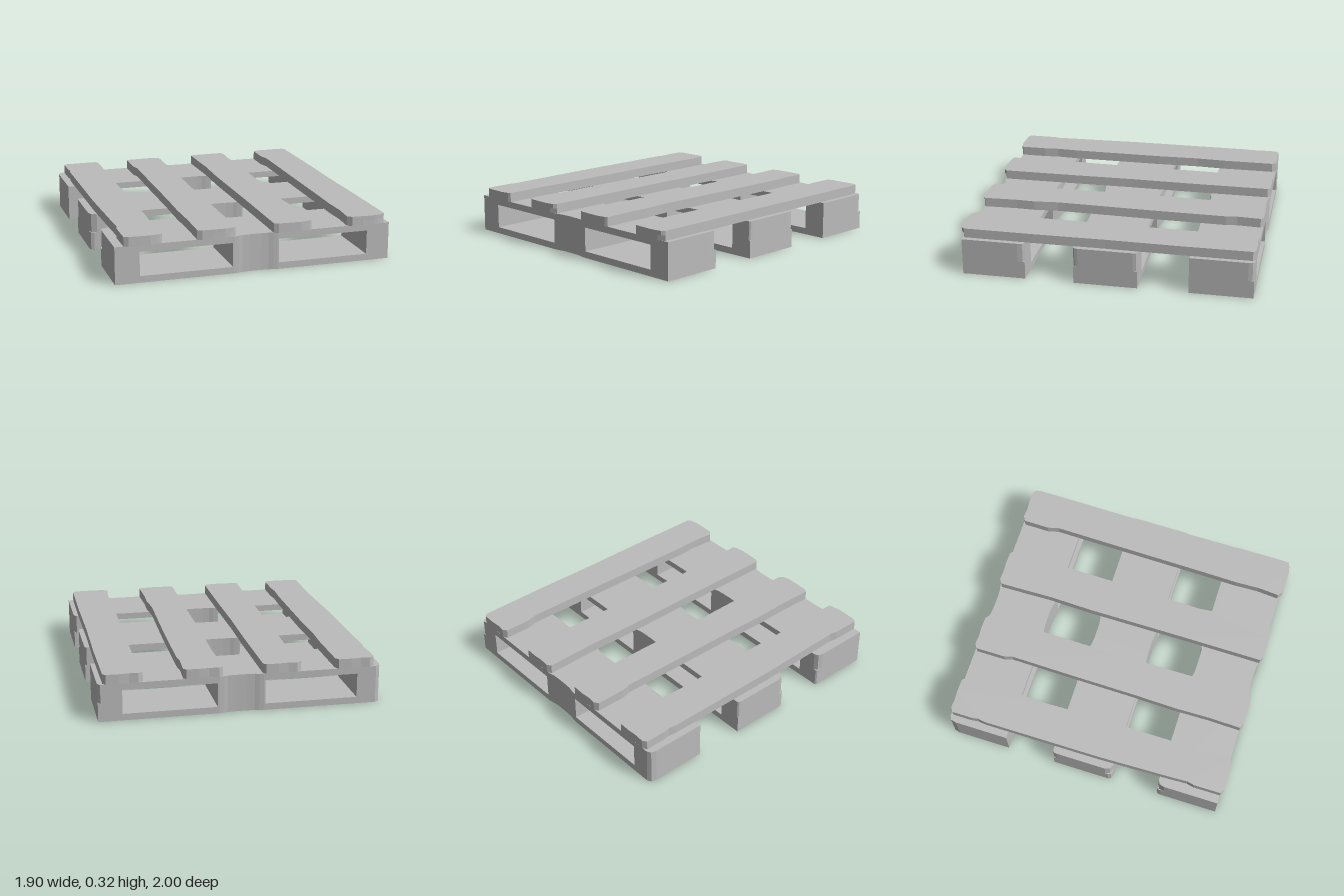
import * as THREE from 'three';

const wood = new THREE.MeshStandardMaterial({ color: 0xbcbcbc });
wood.name = 'weathered grey';

// Solid standing on a plan outline of [x, z] points, from height y0 to y1
function slab(name, outline, y0, y1) {
  const shape = new THREE.Shape(outline.map(([x, z]) => new THREE.Vector2(x, -z)));
  const geo = new THREE.ExtrudeGeometry(shape, { depth: y1 - y0, bevelEnabled: false });
  geo.rotateX(-Math.PI / 2).translate(0, y0, 0);
  const mesh = new THREE.Mesh(geo, wood);
  mesh.name = name;
  return mesh;
}

// Plan outline with a slightly pinched waist and worn corners.
// wear = [dx, dz] for back left, back right, front right, front left (-x is first)
function footprint(x0, x1, z0, z1, wear, waist) {
  const corner = (x, z, sx, sz, [dx, dz], fromZ) => {
    if (!dx) return [[x, z]];
    const pts = [
      [x, z + sz * dz],
      [x + sx * dx * 0.25, z + sz * dz * 0.3],
      [x + sx * dx, z],
    ];
    return fromZ ? pts : pts.reverse();
  };
  const pinch = [[-0.15, 0], [-0.12, 0.004], [-0.09, 0.011], [-0.04, 0.014],
    [0.04, 0.014], [0.09, 0.011], [0.12, 0.004], [0.15, 0]];
  const back = waist ? pinch.map(([x, d]) => [x, z0 + d]) : [];
  const front = waist ? pinch.map(([x, d]) => [x, z1 - d]).reverse() : [];
  return [
    ...corner(x0, z0, 1, 1, wear[0], true), ...back,
    ...corner(x1, z0, -1, 1, wear[1], false),
    ...corner(x1, z1, -1, -1, wear[2], true), ...front,
    ...corner(x0, z1, 1, -1, wear[3], false),
  ];
}

const X0 = -0.955, X1 = 0.95, SHARP = [0, 0];

// Runner: bottom board, three blocks and top board around two fork openings
function runner(name, z0, z1, lowWear, highWear) {
  const g = new THREE.Group();
  g.name = name;
  const [bl, br, fr, fl] = highWear;
  const [lbl, lbr, lfr, lfl] = lowWear;
  g.add(slab('bottomBoard', footprint(X0, X1, z0, z1, lowWear, true), 0, 0.045));
  g.add(slab('middleBlock', footprint(-0.16, 0.16, z0, z1, [SHARP, SHARP, SHARP, SHARP], true), 0.045, 0.21));
  for (const [y0, y1, w] of [[0.045, 0.125, [lbl, lbr, lfr, lfl]], [0.125, 0.21, [bl, br, fr, fl]]]) {
    g.add(slab('leftEndBlock', footprint(X0, -0.79, z0, z1, [w[0], SHARP, SHARP, w[3]], false), y0, y1));
    g.add(slab('rightEndBlock', footprint(0.79, X1, z0, z1, [SHARP, w[1], w[2], SHARP], false), y0, y1));
  }
  g.add(slab('topBoard', footprint(X0, X1, z0, z1, highWear, true), 0.21, 0.255));
  return g;
}

// Deck plank with uneven long edges ([x, z] lists running back to front) and worn ends
function plank(left, right, chip) {
  const xl = left[0][0], xr = right[0][0], w = xr - xl;
  const xfl = left[left.length - 1][0], xfr = right[right.length - 1][0];
  const outline = (c) => [
    ...left.slice().reverse(),
    [xl + 0.03, -1], [xl + w * 0.35, -0.995], [xl + w * 0.6, -1], [xr - 0.02, -0.998],
    ...right,
    [xfr - 0.02 - c, 0.99], [xfr - w * 0.3, 1 - c * 0.2], [xfl + w * 0.4, 0.998], [xfl + 0.03, 0.995],
  ];
  const g = new THREE.Group();
  g.name = 'deckPlank';
  g.add(slab('plankLower', outline(chip), 0.255, 0.29));
  g.add(slab('plankUpper', outline(0), 0.29, 0.32));
  return g;
}

export function createModel() {
  const pallet = new THREE.Group();
  pallet.name = 'pallet';

  // Runners
  const S = SHARP, nick = [0.012, 0.03], worn = [0.035, 0.05];
  pallet.add(runner('backRunner', -0.997, -0.567, [worn, S, S, S], [worn, [0.018, 0.04], S, S]));
  pallet.add(runner('middleRunner', -0.222, 0.212, [S, S, S, [0.03, 0.03]], [nick, nick, nick, [0.05, 0.05]]));
  pallet.add(runner('frontRunner', 0.545, 0.98, [nick, S, S, S], [worn, [0.018, 0.05], S, S]));

  // Deck planks
  pallet.add(
    plank(
      [[-0.905, -0.98], [-0.905, -0.84], [-0.898, -0.79], [-0.906, -0.74], [-0.904, 0.1],
        [-0.89, 0.62], [-0.885, 0.74], [-0.896, 0.79], [-0.895, 0.98]],
      [[-0.64, -0.97], [-0.638, -0.6], [-0.646, -0.4], [-0.638, -0.1], [-0.64, 0.55],
        [-0.647, 0.7], [-0.638, 0.8], [-0.64, 0.98]], 0),
    plank(
      [[-0.405, -0.98], [-0.405, -0.77], [-0.388, -0.71], [-0.394, -0.3], [-0.398, 0.2],
        [-0.405, 0.5], [-0.4, 0.75], [-0.405, 0.98]],
      [[-0.145, -0.98], [-0.143, -0.4], [-0.147, 0], [-0.142, 0.5], [-0.14, 0.97]], 0.03),
    plank(
      [[0.122, -0.98], [0.125, -0.8], [0.13, -0.6], [0.122, -0.3], [0.124, 0.4], [0.122, 0.98]],
      [[0.388, -0.98], [0.38, -0.82], [0.39, -0.74], [0.385, -0.2], [0.37, 0.45],
        [0.385, 0.62], [0.38, 0.75], [0.388, 0.98]], 0),
    plank(
      [[0.652, -0.98], [0.65, -0.8], [0.67, -0.72], [0.664, -0.3], [0.655, 0.4],
        [0.65, 0.65], [0.656, 0.82], [0.645, 0.97]],
      [[0.915, -0.98], [0.918, -0.5], [0.913, 0], [0.917, 0.5], [0.915, 0.97]], 0.03),
  );
  return pallet;
}
